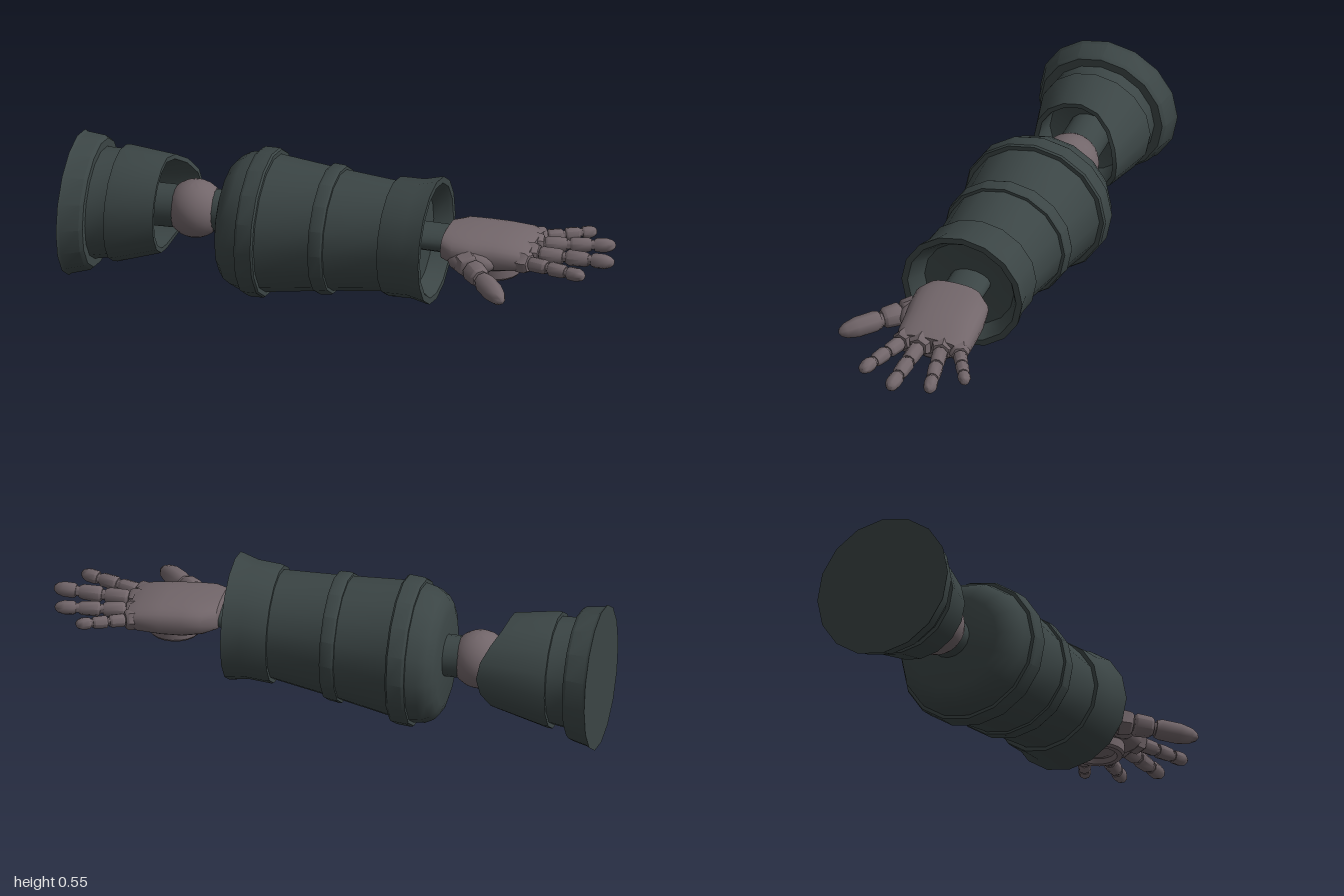
import * as THREE from 'three';
import { toCreasedNormals } from 'three/addons/utils/BufferGeometryUtils.js';

const dark = new THREE.MeshStandardMaterial({ color: 0x3b4545 });
const brown = new THREE.MeshStandardMaterial({ color: 0x72666a });
const V = (x, y, z) => new THREE.Vector3(x, y, z);

function addMesh(parent, name, geometry, material, crease = 0.55) {
  const mesh = new THREE.Mesh(toCreasedNormals(geometry, crease), material);
  mesh.name = name;
  parent.add(mesh);
  return mesh;
}

// Turned shape along x from [x, radius] pairs; warp(p) then moves each vertex
function turned(profile, sides, warp) {
  const geo = new THREE.LatheGeometry(profile.map(([x, r]) => new THREE.Vector2(r, x)), sides);
  geo.rotateZ(-Math.PI / 2);
  const pos = geo.attributes.position, p = V();
  for (let i = 0; i < pos.count; i++) {
    p.fromBufferAttribute(pos, i);
    warp(p);
    pos.setXYZ(i, p.x, p.y, p.z);
  }
  return geo;
}

// Turned shape between two points; profile gives [fraction, radius]
function between(parent, name, a, b, profile, sides, material) {
  const length = a.distanceTo(b);
  const points = profile.map(([t, r]) => new THREE.Vector2(r, t * length));
  const geo = new THREE.LatheGeometry(points, sides, Math.PI / 6);
  const mesh = addMesh(parent, name, geo, material, sides > 8 ? 0.55 : 0.85);
  mesh.position.copy(a);
  mesh.quaternion.setFromUnitVectors(V(0, 1, 0), b.clone().sub(a).normalize());
  return mesh;
}

const rod = r => [[0, 0], [0, r], [1, r], [1, 0]];
const link = (r0, r1) => [[0, 0], [0, r0 * 0.8], [0.12, r0], [0.85, r1], [1, r1 * 0.8], [1, 0]];
const fingertip = r => [[0, 0], [0, r * 0.85], [0.12, r], [0.55, r], [0.82, r * 0.75], [0.95, r * 0.42], [1, 0]];

function makePalm() {
  // x, z from, z to, y from, y to
  const stations = [
    [0.375, -0.08, 0.05, 0.3, 0.37], [0.385, -0.11, 0.1, 0.285, 0.387],
    [0.43, -0.15, 0.125, 0.275, 0.391], [0.5, -0.16, 0.123, 0.262, 0.391],
    [0.58, -0.165, 0.112, 0.262, 0.388], [0.66, -0.17, 0.105, 0.272, 0.378],
    [0.7, -0.15, 0.09, 0.295, 0.362],
  ];
  const n = 24, verts = [], index = [];
  const bulge = v => Math.sign(v) * Math.abs(v) ** 0.75;
  stations.forEach(([x, z0, z1, y0, y1]) => {
    for (let j = 0; j < n; j++) {
      const a = j / n * Math.PI * 2;
      verts.push(x, (y0 + y1) / 2 + (y1 - y0) / 2 * bulge(Math.sin(a)),
        (z0 + z1) / 2 + (z1 - z0) / 2 * bulge(Math.cos(a)));
    }
  });
  const last = stations.length - 1, start = verts.length / 3;
  for (const s of [stations[0], stations[last]]) verts.push(s[0], (s[3] + s[4]) / 2, (s[1] + s[2]) / 2);
  for (let j = 0; j < n; j++) {
    const k = (j + 1) % n;
    for (let i = 0; i < last; i++) {
      const a = i * n, b = a + n;
      index.push(a + j, b + j, a + k, b + j, b + k, a + k);
    }
    index.push(start, j, k, start + 1, last * n + k, last * n + j);
  }
  const geo = new THREE.BufferGeometry();
  geo.setAttribute('position', new THREE.Float32BufferAttribute(verts, 3));
  geo.setIndex(index);
  return geo;
}

function makeFinger(name, base, tip, r) {
  const g = new THREE.Group();
  g.name = name;
  const at = t => base.clone().lerp(tip, t);
  between(g, 'knuckleCollar', at(-0.12), at(0.06),
    [[0, 0], [0, r * 1.5], [0.75, r * 1.45], [1, r * 1.15], [1, 0]], 6, brown);
  between(g, 'fingerCore', at(0), at(0.85), rod(r * 0.6), 8, brown);
  between(g, 'innerLink', at(0.07), at(0.36), link(r, r * 0.95), 8, brown);
  between(g, 'middleLink', at(0.4), at(0.68), link(r * 0.98, r * 0.9), 8, brown);
  between(g, 'fingertip', at(0.72), tip, fingertip(r * 0.9), 8, brown);
  return g;
}

function makeHand() {
  const hand = new THREE.Group();
  hand.name = 'hand';
  addMesh(hand, 'palm', makePalm(), brown, 0.7);

  // Round emitter under the palm, turned so that its profile points down
  between(hand, 'palmDisc', V(0.555, 0.275, -0.013), V(0.555, 0.232, -0.013),
    [[0, 0], [0, 0.093], [0.8, 0.093], [1, 0.086], [1, 0.068], [0.6, 0.06], [0.6, 0.05], [0.8, 0.035], [0.85, 0]],
    20, brown);

  const fingers = [
    ['indexFinger', V(0.695, 0.322, 0.072), V(0.93, 0.332, 0.142), 0.028],
    ['middleFinger', V(0.705, 0.327, 0.005), V(1, 0.335, 0.008), 0.03],
    ['ringFinger', V(0.7, 0.327, -0.075), V(0.965, 0.334, -0.128), 0.028],
    ['littleFinger', V(0.695, 0.324, -0.142), V(0.865, 0.33, -0.228), 0.025],
  ];
  for (const f of fingers) hand.add(makeFinger(...f));

  // Thumb
  const thumb = new THREE.Group();
  thumb.name = 'thumb';
  hand.add(thumb);
  const mound = addMesh(thumb, 'thumbMound', new THREE.SphereGeometry(1, 12, 8), brown, 0.9);
  mound.scale.set(0.09, 0.045, 0.05);
  mound.position.set(0.5, 0.31, 0.1);
  between(thumb, 'thumbCollar', V(0.48, 0.31, 0.1), V(0.515, 0.306, 0.145), link(0.052, 0.046), 6, brown);
  between(thumb, 'thumbCore', V(0.5, 0.306, 0.12), V(0.61, 0.293, 0.245), rod(0.024), 8, brown);
  between(thumb, 'thumbLink', V(0.517, 0.304, 0.147), V(0.565, 0.3, 0.2), link(0.042, 0.038), 8, brown);
  between(thumb, 'thumbTip', V(0.572, 0.298, 0.206), V(0.68, 0.282, 0.322), fingertip(0.037), 8, brown);
  return hand;
}

export function createModel() {
  const arm = new THREE.Group();
  arm.name = 'arm';

  // Upper arm: hollow cup whose rim reaches further forward at the back
  const upperProfile = [
    [-1, 0], [-1, 0.26], [-0.99, 0.253], [-0.925, 0.24], [-0.913, 0.23], [-0.913, 0.2], [-0.845, 0.193],
    [-0.845, 0.208], [-0.83, 0.209], [-0.675, 0.177], [-0.675, 0.16], [-0.76, 0.145], [-0.78, 0],
  ];
  addMesh(arm, 'upperArm', turned(upperProfile, 16, p => {
    const r = Math.hypot(p.y, p.z);
    if (p.x > -0.7) {
      const reach = 0.085 * Math.max(0, -p.z / r) ** 2;
      p.x += reach;
      p.y *= 1 - reach;
      p.z *= 1 - reach;
    }
    p.y += 0.26 + (p.x + 1) * 0.1;
    p.z += -0.056 - (p.x + 1) * 0.06;
  }), dark);

  // Elbow
  between(arm, 'elbowInnerShaft', V(-0.79, 0.285, -0.07), V(-0.6, 0.29, -0.073), rod(0.078), 16, dark);
  addMesh(arm, 'elbowBall', new THREE.SphereGeometry(0.105, 20, 14), brown)
    .position.set(-0.567, 0.29, -0.073);
  between(arm, 'elbowOuterShaft', V(-0.56, 0.292, -0.077), V(-0.42, 0.292, -0.077), rod(0.075), 16, dark);

  // Forearm: domed back, three raised bands and a recessed wrist opening
  const forearmProfile = [
    [-0.445, 0], [-0.445, 0.17], [-0.436, 0.2], [-0.415, 0.226], [-0.385, 0.243], [-0.345, 0.25],
    [-0.345, 0.262], [-0.335, 0.267], [-0.282, 0.267], [-0.275, 0.262], [-0.275, 0.246], [-0.078, 0.222],
    [-0.078, 0.231], [-0.07, 0.234], [-0.032, 0.231], [-0.025, 0.227], [-0.025, 0.216], [0.175, 0.196],
    [0.175, 0.21], [0.185, 0.213], [0.27, 0.213], [0.325, 0.226], [0.338, 0.228], [0.338, 0.205], [0.325, 0.195],
    [0.275, 0.169], [0.27, 0],
  ];
  addMesh(arm, 'forearm', turned(forearmProfile, 16, p => {
    p.y += 0.28 + (p.x + 0.32) * 0.058;
    p.z += -0.055 + (p.x + 0.32) * 0.063;
  }), dark);

  // Wrist: flattened shaft
  between(arm, 'wrist', V(0.25, 0.328, -0.022), V(0.4, 0.328, -0.022), rod(0.075), 16, dark)
    .scale.set(0.58, 1, 1);

  arm.add(makeHand());
  return arm;
}
